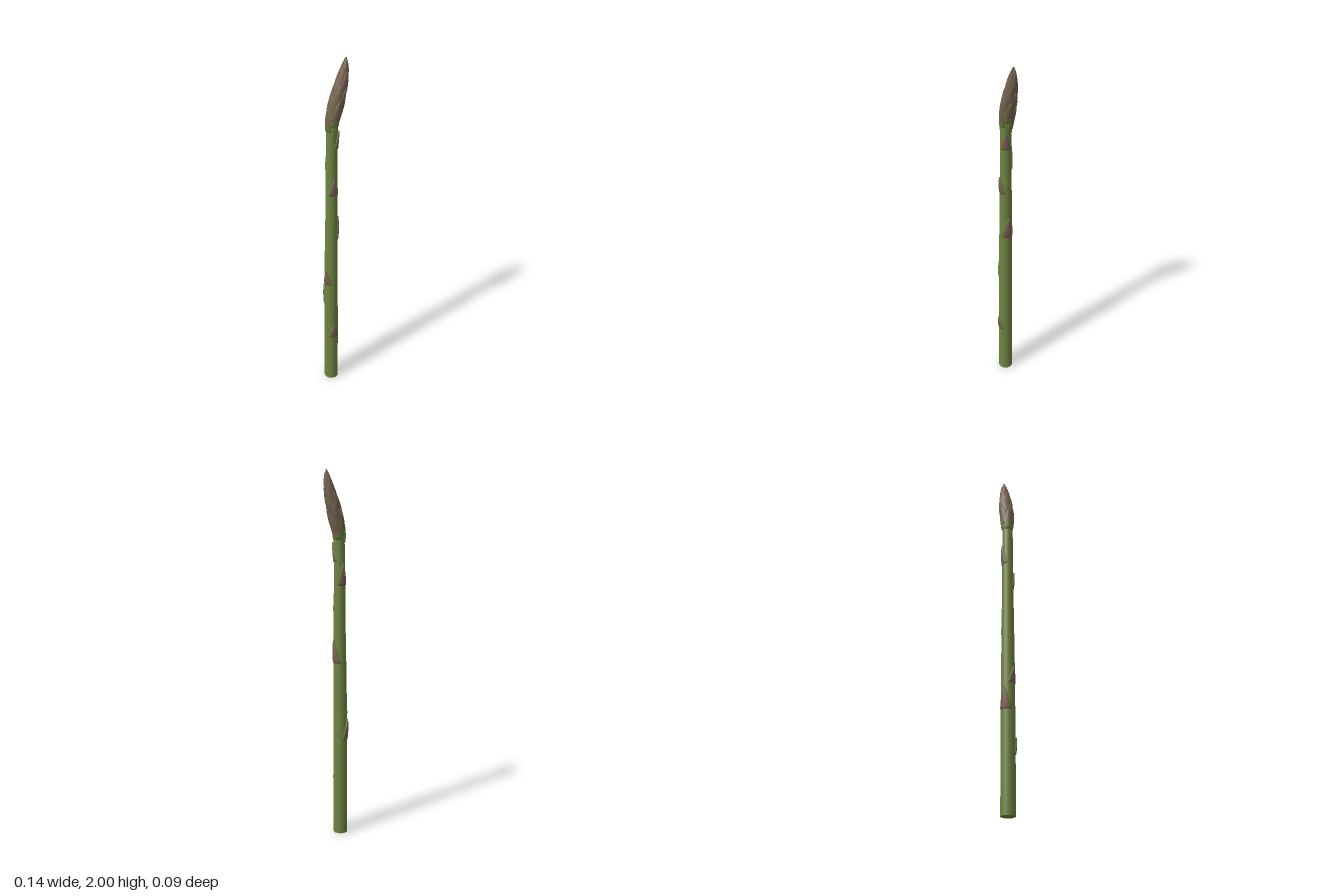
import * as THREE from 'three';
import { mergeVertices } from 'three/addons/utils/BufferGeometryUtils.js';

const material = (name, color) => {
  const m = new THREE.MeshStandardMaterial({ color });
  m.name = name;
  return m;
};

// Spear axis: [height, centre x, radius], smoothed into a lookup table
const AXIS = [
  [0, -0.029, 0.039], [0.4, -0.028, 0.038], [0.8, -0.027, 0.036], [1.2, -0.023, 0.032],
  [1.45, -0.022, 0.03], [1.6, -0.021, 0.029], [1.68, -0.014, 0.03], [1.76, 0.002, 0.031],
  [1.84, 0.022, 0.027], [1.92, 0.042, 0.018], [1.97, 0.052, 0.009], [1.998, 0.056, 0.001],
];
const samples = new THREE.CatmullRomCurve3(AXIS.map(([y, x, r]) => new THREE.Vector3(x, y, r))).getPoints(220);

function axisAt(y) {
  let i = 1;
  while (i < samples.length - 1 && samples[i].y < y) i++;
  const a = samples[i - 1], b = samples[i];
  const t = THREE.MathUtils.clamp((y - a.y) / (b.y - a.y), 0, 1);
  return { x: a.x + (b.x - a.x) * t, r: Math.max(0.0005, a.z + (b.z - a.z) * t) };
}

// Point at a height and angle, raised above the spear surface
function surfacePoint(y, angle, lift) {
  const { x, r } = axisAt(y);
  const radius = Math.max(0, r + lift);
  return [x + radius * Math.cos(angle), y, radius * Math.sin(angle)];
}

// Grid surface; slot(row, column) picks the material group of each cell
function grid(rows, cols, point, slot = () => 0) {
  const positions = [], faces = [[], []];
  for (let j = 0; j <= rows; j++)
    for (let i = 0; i <= cols; i++) positions.push(...point(j, i));
  for (let j = 0; j < rows; j++)
    for (let i = 0; i < cols; i++) {
      const a = j * (cols + 1) + i, b = a + cols + 1;
      faces[slot(j, i)].push(a, b, a + 1, a + 1, b, b + 1);
    }
  const g = new THREE.BufferGeometry();
  g.setAttribute('position', new THREE.Float32BufferAttribute(positions, 3));
  g.setIndex([...faces[0], ...faces[1]]);
  g.addGroup(0, faces[0].length, 0);
  g.addGroup(faces[0].length, faces[1].length, 1);
  return g;
}

// Leaf scale: a pointed, slightly raised shell wrapped round the spear
const ACROSS = [-1, -0.96, -0.72, -0.4, 0, 0.4, 0.72, 0.96, 1];
function scaleGeometry({ y, angle, length, width, lift, taper, greenEdge, greenBase }) {
  const rows = 10, cols = ACROSS.length - 1;
  const point = (j, i) => {
    const v = Math.max(0, j - 1) / (rows - 1);
    const u = ACROSS[i];
    const h = y + v * length;
    const raised = Math.min(lift, 0.3 * axisAt(h).r + 0.003) * (0.45 + 0.55 * Math.sin(v * 2.2));
    const sunk = j === 0 || Math.abs(u) === 1;
    const out = sunk ? -0.002 : raised * (1 - 0.5 * u * u);
    return surfacePoint(h, angle + u * width * (1 - Math.pow(v, taper)), out);
  };
  const slot = (j, i) =>
    (greenEdge && (i < 2 || i > cols - 3)) || j < greenBase ? 1 : 0;
  const g = grid(rows, cols, point, slot);
  g.computeVertexNormals();
  return g;
}

export function createModel() {
  const stemGreen = material('stem green', 0x6f8342);
  const scaleGreen = material('scale green', 0x687c3a);
  const bractPink = material('bract mauve', 0x7a5f53);
  const tipBrown = material('tip brown', 0x766150);

  const model = new THREE.Group();
  model.name = 'asparagusSpear';
  const add = (name, geometry, mat, parent = model) => {
    const mesh = new THREE.Mesh(geometry, mat);
    mesh.name = name;
    parent.add(mesh);
    return mesh;
  };

  // Stem and the core of the tip in one smooth skin
  const sides = 32;
  const stem = mergeVertices(grid(60, sides, (j, i) =>
    surfacePoint(2 * j / 60, (i % sides) / sides * Math.PI * 2, 0)));
  stem.clearGroups();
  stem.computeVertexNormals();
  add('stem', stem, stemGreen);

  // Flat cut end
  const cut = add('cutEnd', new THREE.CircleGeometry(0.039, sides), stemGreen);
  cut.rotation.x = Math.PI / 2;
  cut.position.set(-0.029, 0.0005, 0);

  // Sparse bracts along the stem: [height, angle in degrees, length, half width]
  const bracts = new THREE.Group();
  bracts.name = 'stemBracts';
  model.add(bracts);
  [
    [0.315, 90, 0.09, 0.9], [0.545, 225, 0.12, 1.1], [0.69, 152, 0.09, 0.9],
    [0.98, 0, 0.13, 1.35], [1.26, 90, 0.1, 1.1], [1.4, 262, 0.12, 1.1],
    [1.525, 28, 0.1, 1.1],
  ].forEach(([y, deg, length, width], k) => {
    add(`bract${k + 1}`, scaleGeometry({
      y, angle: THREE.MathUtils.degToRad(deg), length, width,
      lift: 0.009, taper: 1.1, greenEdge: true, greenBase: 0,
    }), [bractPink, scaleGreen], bracts);
  });

  // Overlapping scales of the tip, spiralling by the golden angle
  const tip = new THREE.Group();
  tip.name = 'tipScales';
  model.add(tip);
  const count = 24;
  for (let k = 0; k < count; k++) {
    const t = k / (count - 1);
    const y = 1.625 + 0.27 * Math.pow(t, 0.9);
    add(`tipScale${k + 1}`, scaleGeometry({
      y, angle: Math.PI + k * 2.39996, length: Math.min(0.14 - 0.02 * t, 1.998 - y),
      width: 0.95 + 0.25 * t, lift: 0.013 - 0.004 * t, taper: 2,
      greenEdge: t < 0.62, greenBase: t < 0.62 ? 3 : 0,
    }), [k < 4 ? bractPink : tipBrown, scaleGreen], tip);
  }
  return model;
}
